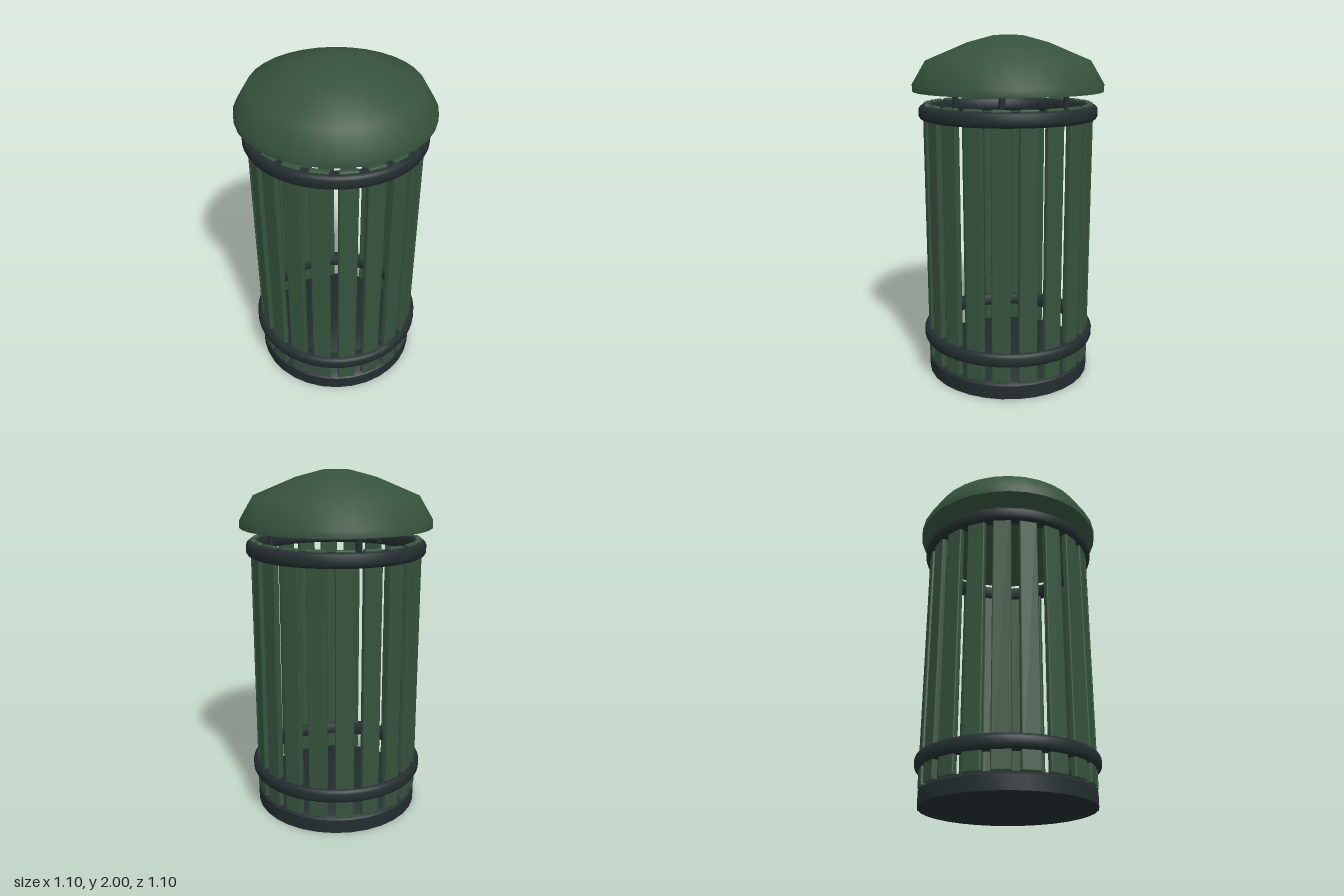
import * as THREE from 'three';
import { toCreasedNormals } from 'three/addons/utils/BufferGeometryUtils.js';
import { RoundedBoxGeometry } from 'three/addons/geometries/RoundedBoxGeometry.js';

export function createModel() {
  const root = new THREE.Group();
  root.name = 'litterBin';

  const green = new THREE.MeshStandardMaterial({ color: 0x36523d });
  green.name = 'park green';
  const dark = new THREE.MeshStandardMaterial({ color: 0x222c2f });
  dark.name = 'dark slate metal';

  const add = (name, geometry, material, x = 0, y = 0, z = 0) => {
    const mesh = new THREE.Mesh(geometry, material);
    mesh.name = name;
    mesh.position.set(x, y, z);
    root.add(mesh);
    return mesh;
  };
  // Turned part from [radius, height] pairs, listed bottom to top on the outside
  const turned = (pairs, segments, crease) => toCreasedNormals(
    new THREE.LatheGeometry(pairs.map(([r, y]) => new THREE.Vector2(r, y)), segments), crease);

  // Solid base with a bevelled top edge
  add('base', turned([[0, 0], [0.488, 0], [0.488, 0.08], [0.465, 0.1], [0, 0.1]], 32, 0.85), dark);

  // Ring of upright slats
  const slat = new RoundedBoxGeometry(0.105, 1.53, 0.035, 2, 0.008);
  for (let i = 0; i < 20; i++) {
    const a = (i / 20) * Math.PI * 2;
    add('slat', slat, green, Math.sin(a) * 0.47, 0.86, Math.cos(a) * 0.47).rotation.y = a;
  }

  // Two rounded hoops clamping the slats
  const hoop = turned([
    [0.495, -0.04], [0.508, -0.033], [0.515, -0.018], [0.515, 0.018], [0.508, 0.033], [0.495, 0.04],
    [0.45, 0.04], [0.437, 0.028], [0.437, -0.028], [0.45, -0.04], [0.495, -0.04],
  ], 48, 0.9);
  add('lowerHoop', hoop, dark, 0, 0.24, 0);
  add('upperHoop', hoop, dark, 0, 1.572, 0);

  // Three short posts carrying the lid
  const post = new THREE.CylinderGeometry(0.018, 0.018, 0.16, 12);
  for (let i = 0; i < 3; i++) {
    const a = (i / 3) * Math.PI * 2;
    add('lidPost', post, dark, Math.cos(a) * 0.39, 1.63, Math.sin(a) * 0.39);
  }

  // Domed lid with a closed underside
  add('lid', turned([
    [0, 1.69], [0.548, 1.69], [0.548, 1.73], [0.47, 1.86], [0.23, 1.96], [0.08, 2], [0, 2],
  ], 32, 0.9), green);

  return root;
}
